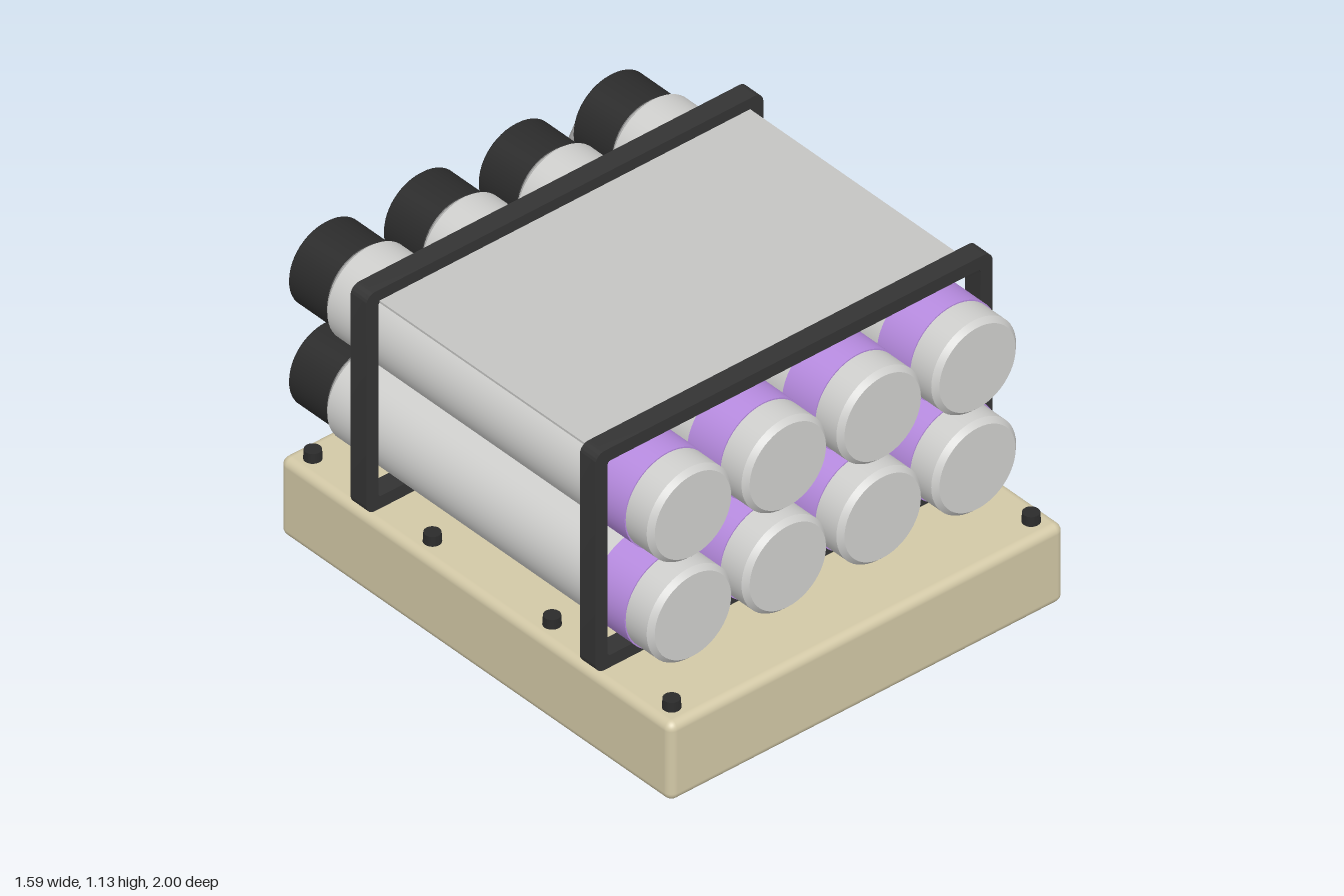
import * as THREE from 'three';
import { toCreasedNormals } from 'three/addons/utils/BufferGeometryUtils.js';
import { RoundedBoxGeometry } from 'three/addons/geometries/RoundedBoxGeometry.js';

const mat = (name, color) => {
  const m = new THREE.MeshStandardMaterial({ color });
  m.name = name;
  return m;
};

// Surface of revolution along z; profile is [radius, z] from back to front
function turned(profile, segments = 48) {
  const pts = profile.map(([r, z]) => new THREE.Vector2(r, z));
  const g = new THREE.LatheGeometry(pts, segments);
  g.rotateX(Math.PI / 2);
  return toCreasedNormals(g, 0.5);
}

// Rounded rectangle outline
function roundRect(target, x0, y0, x1, y1, r) {
  target.moveTo(x0 + r, y0);
  target.lineTo(x1 - r, y0);
  target.absarc(x1 - r, y0 + r, r, -Math.PI / 2, 0, false);
  target.lineTo(x1, y1 - r);
  target.absarc(x1 - r, y1 - r, r, 0, Math.PI / 2, false);
  target.lineTo(x0 + r, y1);
  target.absarc(x0 + r, y1 - r, r, Math.PI / 2, Math.PI, false);
  target.lineTo(x0, y0 + r);
  target.absarc(x0 + r, y0 + r, r, Math.PI, Math.PI * 1.5, false);
  return target;
}

// D-shaped outline, wider at the top
function dOutline(target, w, y0, y1, slant) {
  target.moveTo(-w + slant, y0);
  target.lineTo(w - slant, y0);
  target.lineTo(w, y1);
  target.lineTo(-w, y1);
  target.closePath();
  return target;
}

export function createModel() {
  const root = new THREE.Group();
  root.name = 'cylinderRack';

  const beige = mat('beige case', 0xd2c8a6);
  const metal = mat('light metal', 0xcfcfcd);
  const panelGrey = mat('panel grey', 0xc4c4c2);
  const purple = mat('purple band', 0xb78be0);
  const black = mat('black cap', 0x2b2b2b);
  const frameGrey = mat('dark frame', 0x343434);
  const wireGrey = mat('wire grey', 0x929292);
  const brass = mat('pin brass', 0x8c7d48);

  const add = (parent, name, geometry, material, x = 0, y = 0, z = 0) => {
    const m = new THREE.Mesh(geometry, material);
    m.name = name;
    m.position.set(x, y, z);
    parent.add(m);
    return m;
  };

  // Base case
  add(root, 'baseCase', new RoundedBoxGeometry(1.58, 0.295, 1.815, 4, 0.03), beige, 0, 0.1525, 0.0925);

  // Screws along both edges of the base
  const screwGeo = toCreasedNormals(new THREE.CylinderGeometry(0.028, 0.03, 0.036, 20), 0.5);
  for (const x of [-0.72, 0.72])
    for (const z of [0.925, 0.37, -0.185, -0.74])
      add(root, 'baseScrew', screwGeo, black, x, 0.317, z);

  // Eight cylinders with band, end cap and bent wire
  const bodyGeo = turned([[0, -0.668], [0.155, -0.668], [0.17, -0.65], [0.17, 0.832], [0.153, 0.85], [0, 0.85]]);
  const bandGeo = turned([[0.168, 0.585], [0.1745, 0.585], [0.1745, 0.735], [0.168, 0.735]]);
  const capGeo = turned([[0, -0.855], [0.145, -0.855], [0.154, -0.846], [0.154, -0.673], [0.146, -0.664], [0, -0.664]]);
  for (const x of [-0.57, -0.19, 0.19, 0.57])
    for (const y of [0.53, 0.91]) {
      const unit = new THREE.Group();
      unit.name = 'cylinder';
      unit.position.set(x, y, 0);
      root.add(unit);
      add(unit, 'cylinderBody', bodyGeo, metal);
      add(unit, 'cylinderBand', bandGeo, purple);
      add(unit, 'endCap', capGeo, black);

      // Wire leaves the cap straight, bends, and runs down to the connector
      const start = new THREE.Vector3(0, 0, -0.85);
      const bend = new THREE.Vector3(0, 0, -0.952);
      const end = new THREE.Vector3(Math.sign(x) * (Math.abs(x) > 0.4 ? 0.28 : 0.1) - x, 0.34 - y, -0.987);
      const before = new THREE.Vector3(0, 0, -0.925);
      const after = bend.clone().add(end.clone().sub(bend).setLength(0.027));
      const path = new THREE.CurvePath();
      path.add(new THREE.LineCurve3(start, before));
      path.add(new THREE.QuadraticBezierCurve3(before, bend, after));
      path.add(new THREE.LineCurve3(after, end));
      add(unit, 'wire', new THREE.TubeGeometry(path, 40, 0.011, 10), wireGrey);
      const tip = add(unit, 'wireTip', new THREE.CircleGeometry(0.011, 10), wireGrey, end.x, end.y, end.z);
      tip.quaternion.setFromUnitVectors(new THREE.Vector3(0, 0, 1), end.clone().sub(bend).normalize());
    }

  // Two holding frames
  const outline = roundRect(new THREE.Shape(), -0.795, 0.308, 0.795, 1.137, 0.035);
  outline.holes.push(roundRect(new THREE.Path(), -0.747, 0.354, 0.747, 1.09, 0.012));
  const frameGeo = toCreasedNormals(
    new THREE.ExtrudeGeometry(outline, { depth: 0.073, bevelEnabled: false, curveSegments: 8 }), 0.5);
  for (const z of [0.586, -0.478]) add(root, 'holdingFrame', frameGeo, frameGrey, 0, 0, z);

  // Thin top panel between the frames
  add(root, 'topPanel', new THREE.BoxGeometry(1.485, 0.008, 1.0), panelGrey, 0, 1.092, 0.09);

  // Connector on the back of the base
  const connector = new THREE.Group();
  connector.name = 'connector';
  connector.position.set(0, 0.153, 0);
  root.add(connector);
  add(connector, 'connectorFlange', new THREE.BoxGeometry(0.57, 0.122, 0.025), metal, 0, 0, -0.823);
  const shell = dOutline(new THREE.Shape(), 0.217, -0.052, 0.052, 0.018);
  shell.holes.push(dOutline(new THREE.Path(), 0.203, -0.04, 0.04, 0.016));
  const shellGeo = new THREE.ExtrudeGeometry(shell, { depth: 0.09, bevelEnabled: false });
  add(connector, 'connectorShell', shellGeo, metal, 0, 0, -0.92);
  const coreGeo = new THREE.ExtrudeGeometry(dOutline(new THREE.Shape(), 0.204, -0.041, 0.041, 0.016),
    { depth: 0.06, bevelEnabled: false });
  add(connector, 'connectorCore', coreGeo, frameGrey, 0, 0, -0.895);
  const pinGeo = new THREE.CylinderGeometry(0.005, 0.005, 0.05, 8).rotateX(Math.PI / 2);
  for (let row = 0; row < 2; row++)
    for (let i = 0; i < 13 - row; i++)
      add(connector, 'pin', pinGeo, brass, -0.175 + (i + row / 2) * 0.025, row ? -0.014 : 0.014, -0.912);
  const boltGeo = new THREE.CylinderGeometry(0.02, 0.02, 0.025, 16).rotateX(Math.PI / 2);
  for (const x of [-0.25, 0.25]) add(connector, 'connectorBolt', boltGeo, black, x, 0, -0.842);

  return root;
}
